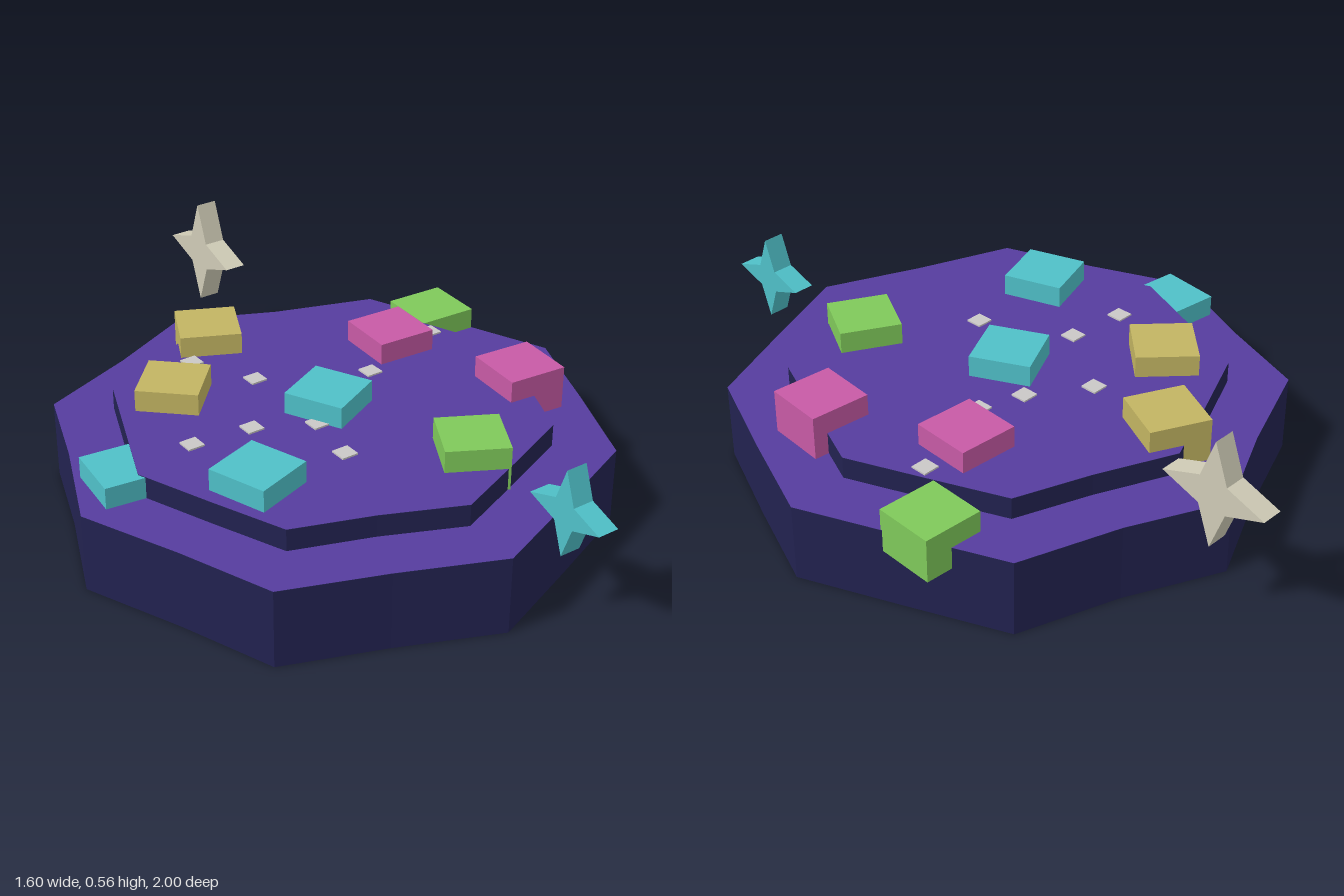
import * as THREE from 'three';

const mat = (name, color) => {
  const m = new THREE.MeshStandardMaterial({ color });
  m.name = name;
  return m;
};

export function createModel() {
  const group = new THREE.Group();
  const navy = mat('navy', 0x222250);
  const purple = mat('purple', 0x563c9e);
  const cyan = mat('cyan', 0x4fc0c8);
  const green = mat('green', 0x7fc95a);
  const pink = mat('pink', 0xc75aa5);
  const gold = mat('gold', 0xc2b462);
  const cream = mat('cream', 0xcfcbb6);
  const pale = mat('paleGrey', 0xcac7c6);

  const add = (name, geometry, material, x = 0, y = 0, z = 0, rotY = 0) => {
    const mesh = new THREE.Mesh(geometry, material);
    mesh.name = name;
    mesh.position.set(x, y, z);
    mesh.rotation.y = rotY;
    group.add(mesh);
  };

  // Faceted slab with a painted top; the outline is given as x, z pairs
  const slab = (name, outline, y0, y1) => {
    const shape = new THREE.Shape(outline.map(([x, z]) => new THREE.Vector2(x, -z)));
    const body = new THREE.ExtrudeGeometry(shape, { depth: y1 - y0, bevelEnabled: false });
    add(name, body.rotateX(-Math.PI / 2), navy, 0, y0);
    add(name + 'Top', new THREE.ShapeGeometry(shape).rotateX(-Math.PI / 2), purple, 0, y1 + 0.001);
  };

  slab('base', [
    [-0.01, 0.84], [0.28, 0.725], [0.56, 0.61], [0.685, 0.325], [0.8, 0.045], [0.685, -0.24],
    [0.565, -0.53], [0.27, -0.63], [-0.01, -0.76], [-0.285, -0.63], [-0.58, -0.515],
    [-0.675, -0.25], [-0.8, 0.045], [-0.68, 0.335], [-0.58, 0.61], [-0.296, 0.717],
  ], 0, 0.23);

  slab('platform', [
    [-0.005, 0.665], [0.22, 0.575], [0.435, 0.485], [0.62, 0.045], [0.53, -0.18], [0.44, -0.4],
    [0.22, -0.48], [-0.01, -0.58], [-0.23, -0.49], [-0.45, -0.395], [-0.625, 0.045],
    [-0.54, 0.27], [-0.455, 0.485], [-0.23, 0.565],
  ], 0.22, 0.295);

  // Coloured blocks: material, x, z, turn, top height
  const block = new THREE.BoxGeometry(0.18, 0.13, 0.18);
  [
    [gold, -0.075, -0.48, -0.45, 0.36],
    [gold, -0.335, -0.25, -0.76, 0.36],
    [pink, 0.354, -0.15, -0.06, 0.36],
    [pink, 0.518, 0.243, -0.09, 0.36],
    [cyan, -0.01, 0.045, 0.45, 0.36],
    [cyan, -0.4, 0.275, 0.32, 0.36],
    [green, 0.157, 0.47, -0.5, 0.36],
    [cyan, -0.63, -0.024, -0.12, 0.294],
    [green, 0.617, -0.285, -0.05, 0.295],
  ].forEach(([m, x, z, turn, top]) => add(m.name + 'Block', block, m, x, top - 0.065, z, turn));

  // Small square flecks on the platform
  const fleck = new THREE.BoxGeometry(0.05, 0.008, 0.05);
  [
    [-0.185, -0.395], [-0.09, -0.205], [0.075, -0.095], [0.207, -0.05], [0.5, -0.145],
    [-0.43, 0], [-0.25, 0.02], [-0.09, 0.105], [-0.12, 0.275],
  ].forEach(([x, z]) => add('fleck', fleck, pale, x, 0.297, z));

  // Four-pointed stars floating at the front and back, extruded along x
  const star = (name, material, outer, inner, y, z) => {
    const points = [];
    for (let i = 0; i < 8; i++) {
      const r = i % 2 ? inner : outer;
      const a = (i * Math.PI) / 4;
      points.push(new THREE.Vector2(Math.cos(a) * r, Math.sin(a) * r));
    }
    const geo = new THREE.ExtrudeGeometry(new THREE.Shape(points), { depth: 0.064, bevelEnabled: false });
    add(name, geo.translate(0, 0, -0.032).rotateY(Math.PI / 2), material, 0.154, y, z);
  };
  star('frontStar', cyan, 0.128, 0.047, 0.33, 0.872);
  star('backStar', cream, 0.16, 0.06, 0.397, -0.84);

  return group;
}
